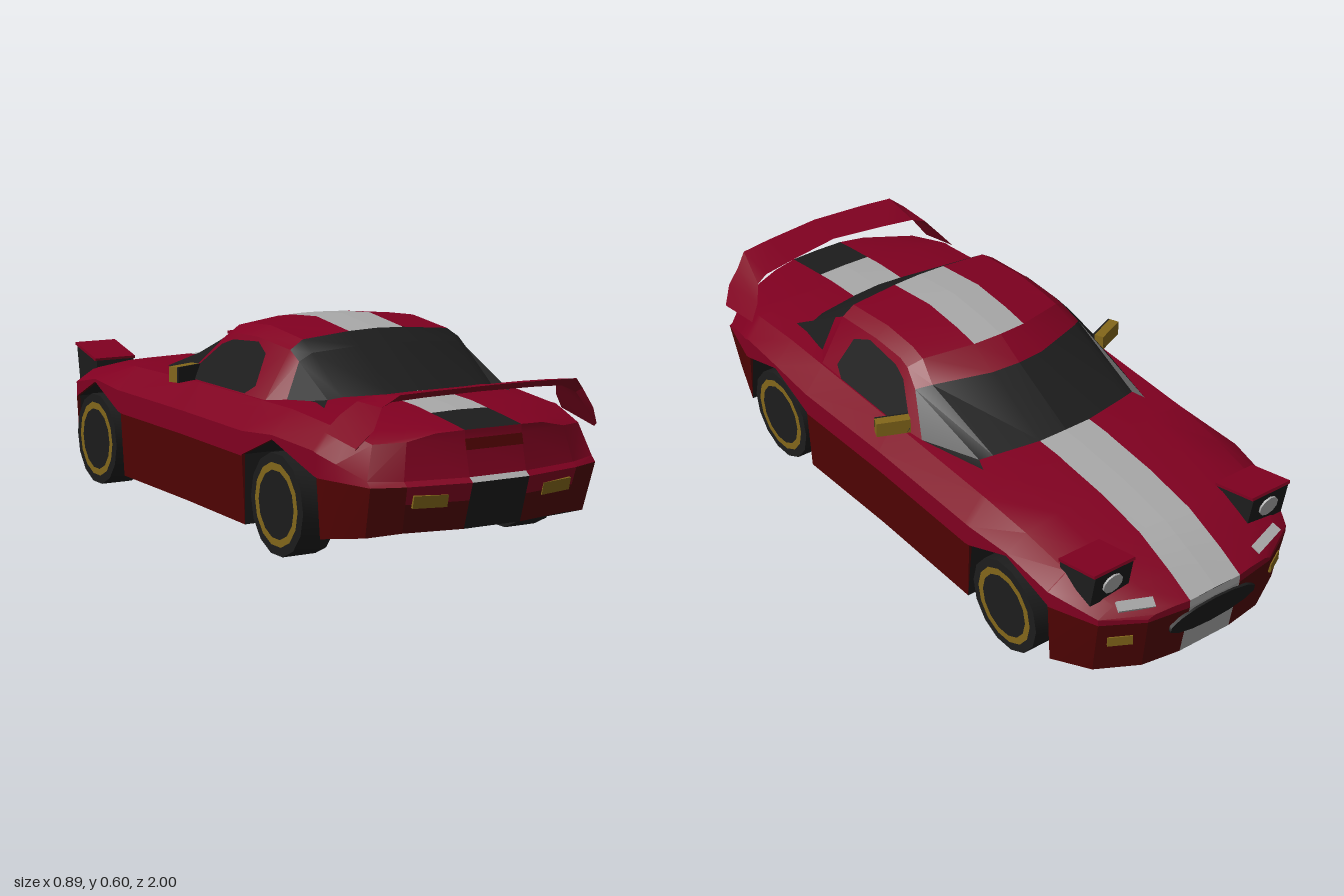
import * as THREE from 'three';
import { toCreasedNormals } from 'three/addons/utils/BufferGeometryUtils.js';

const mat = (name, color, side = THREE.FrontSide) => {
  const m = new THREE.MeshStandardMaterial({ color, side });
  m.name = name;
  return m;
};
const RED = mat('body red', 0x800020);
const DARK = mat('dark red', 0x500202);
const WHITE = mat('stripe white', 0xa8a8a8);
const BLACK = mat('black', 0x1c1c1c, THREE.DoubleSide);
const GOLD = mat('gold', 0x82661a);

// Surface through rows of points
function grid(rows) {
  const n = rows[0].length, idx = [];
  for (let i = 0; i < rows.length - 1; i++)
    for (let j = 0; j < n - 1; j++) {
      const a = i * n + j, b = a + n;
      idx.push(a, a + 1, b, a + 1, b + 1, b);
    }
  const g = new THREE.BufferGeometry();
  g.setAttribute('position', new THREE.Float32BufferAttribute(rows.flat(2), 3));
  g.setIndex(idx);
  return toCreasedNormals(g, 0.45);
}
const flip = rows => rows.map(r => r.map(([x, y, z]) => [-x, y, z]).reverse());

// Body stations: z, half width, bottom, sill top, belt, shoulder x, shoulder y, centre top
const BODY = [
  [-0.975, 0.22, 0.06, 0.235, 0.245, 0.2, 0.255, 0.262],
  [-0.91, 0.34, 0.06, 0.24, 0.26, 0.29, 0.285, 0.305],
  [-0.775, 0.405, 0.06, 0.25, 0.3, 0.34, 0.34, 0.36],
  [-0.772, 0.405, 0.254, 0.254, 0.3, 0.34, 0.34, 0.36],
  [-0.607, 0.418, 0.323, 0.323, 0.332, 0.35, 0.37, 0.39],
  [-0.44, 0.42, 0.254, 0.254, 0.32, 0.36, 0.39, 0.405],
  [-0.42, 0.42, 0.055, 0.25, 0.32, 0.36, 0.39, 0.408],
  [0, 0.42, 0.055, 0.25, 0.32, 0.365, 0.4, 0.415],
  [0.37, 0.43, 0.055, 0.25, 0.32, 0.365, 0.4, 0.415],
  [0.372, 0.43, 0.254, 0.254, 0.32, 0.365, 0.4, 0.415],
  [0.54, 0.43, 0.323, 0.323, 0.335, 0.365, 0.4, 0.425],
  [0.725, 0.41, 0.254, 0.254, 0.32, 0.36, 0.385, 0.415],
  [0.745, 0.41, 0.085, 0.25, 0.315, 0.36, 0.385, 0.413],
  [0.8, 0.391, 0.095, 0.25, 0.296, 0.349, 0.374, 0.406],
  [0.89, 0.36, 0.11, 0.25, 0.265, 0.33, 0.355, 0.395],
  [0.925, 0.27, 0.12, 0.25, 0.262, 0.25, 0.36, 0.385],
];
const S = 0.09; // stripe half width

function bodyRing([z, w, yb, y2, y3, ws, ysh, yt], i) {
  const bow = i === 0 ? -0.02 : i === BODY.length - 1 ? 0.035 : 0;
  const lip = z > 0.74 ? 0.04 * Math.min(1, (z - 0.74) / 0.15) : 0;
  const tuck = z < -0.9 ? 0.03 : 0;
  const pt = (x, y, dz = 0) => [x, y, z + dz + bow * (1 - Math.max(x - S, 0) / (w - S))];
  const ring = [
    pt(0, yb, tuck), pt(S, yb, tuck), pt(w - 0.01, yb, tuck),
    pt(w, y2, lip), pt(w, y3, lip * 0.6), pt(ws, ysh),
    pt(ws * 0.68, ysh + 0.75 * (yt - ysh)), pt(S, yt - 0.002), pt(0, yt),
  ];
  // bumper face levels: outer point paired with the point at the stripe edge
  const dz = [0, 0, tuck, lip, lip * 0.6, 0, 0, 0];
  ring.levels = [2, 3, 4, 5, 6, 7].map(k => [ring[k], pt(S, ring[k][1], dz[k])]);
  return ring;
}

// Cabin stations: z, base x, base y, roof edge x, roof edge y, top, edge z shift
const CABIN = [
  [-0.34, 0.295, 0.4, 0.28, 0.405, 0.412, 0.04],
  [-0.12, 0.35, 0.4, 0.3, 0.5, 0.525, 0.1],
  [-0.03, 0.36, 0.4, 0.284, 0.538, 0.577, 0.07],
  [0.06, 0.36, 0.4, 0.28, 0.547, 0.59, 0.02],
  [0.2, 0.36, 0.4, 0.28, 0.55, 0.6, 0],
  [0.38, 0.36, 0.4, 0.28, 0.535, 0.578, 0],
  [0.435, 0.325, 0.4, 0.278, 0.508, 0.543, -0.01],
  [0.605, 0.305, 0.405, 0.27, 0.42, 0.43, -0.04],
];
const cabinRing = ([z, xb, yb, xe, ye, yt, s]) => [
  [xb, yb, z], [xe, ye, z + s], [xe - 0.04, ye + 0.62 * (yt - ye), z + s * 0.7],
  [S, yt - 0.003, z + s * 0.1], [0, yt, z],
];

export function createModel() {
  const car = new THREE.Group();
  car.name = 'car';
  const add = (name, geo, m, p = [0, 0, 0], r = [0, 0, 0]) => {
    const mesh = new THREE.Mesh(geo, m);
    mesh.name = name;
    mesh.position.set(...p);
    mesh.rotation.set(...r);
    car.add(mesh);
    return mesh;
  };
  const box = (name, size, m, p, r) => add(name, new THREE.BoxGeometry(...size), m, p, r);
  const both = (name, rows, m) => {
    add(name, grid(rows), m);
    add(name, grid(flip(rows)), m);
  };

  // Lengthwise strips between stations i0..i1 and ring points a..b
  const strip = (name, rings, i0, i1, a, b, m) =>
    both(name, rings.slice(i0, i1 + 1).map(r => r.slice(a, b + 1)), m);

  // Body shell
  const rings = BODY.map(bodyRing);
  const last = rings.length - 1;
  strip('underbody', rings, 0, last, 0, 2, BLACK);
  strip('lowerSide', rings, 0, last, 2, 3, DARK);
  strip('upperBody', rings, 0, last, 3, 7, RED);
  strip('bodyStripe', rings, 0, last - 2, 7, 8, WHITE);
  strip('deckPanel', rings, last - 2, last, 7, 8, BLACK);

  // Nose and tail faces
  const face = (name, ring, rear, lowMid, topMid) => {
    const L = ring.levels.slice();
    const mix = (a, b) => a.map((v, i) => v + 0.62 * (b[i] - v));
    L.splice(1, 0, [mix(L[0][0], L[1][0]), mix(L[0][1], L[1][1])]);
    const part = (from, to, centre, m) => {
      const rows = L.slice(from, to + 1).map(([o, c]) => centre ? [[-c[0], c[1], c[2]], c] : [c, o]);
      const put = q => add(name, grid(rear ? q : q.map(r => r.slice().reverse())), m);
      put(rows);
      if (!centre) put(flip(rows));
    };
    part(0, rear ? 1 : 2, false, DARK);
    part(rear ? 1 : 2, 6, false, RED);
    part(0, 2, true, lowMid);
    part(2, 3, true, WHITE);
    part(3, 6, true, topMid);
  };
  face('noseFace', rings[0], false, WHITE, WHITE);
  face('tailFace', rings[last], true, BLACK, RED);
  box('tailRecess', [0.18, 0.03, 0.006], DARK, [0, 0.345, 0.964], [-0.24, 0, 0]);

  // Cabin with windscreen, roof and rear window
  const cab = CABIN.map(cabinRing);
  strip('windscreen', cab, 0, 1, 0, 4, BLACK);
  strip('roofHeader', cab, 1, 2, 1, 4, RED);
  strip('roof', cab, 2, 5, 1, 3, RED);
  strip('roofStripe', cab, 2, 5, 3, 4, WHITE);
  strip('cabinSide', cab, 1, 6, 0, 1, RED);
  strip('rearWindowTop', cab, 5, 6, 1, 4, BLACK);
  strip('rearWindow', cab, 6, 7, 0, 4, BLACK);

  // Rear wing: arched bar running down into its legs
  const wing = [ // x, lead z, y, trail z, y, under z, y
    [0, 0.855, 0.478, 0.967, 0.496, 0.915, 0.472],
    [0.18, 0.83, 0.473, 0.955, 0.492, 0.905, 0.468],
    [0.28, 0.815, 0.468, 0.945, 0.488, 0.9, 0.463],
    [0.32, 0.8, 0.455, 0.92, 0.455, 0.89, 0.44],
    [0.35, 0.76, 0.415, 0.93, 0.4, 0.9, 0.395],
    [0.385, 0.74, 0.37, 0.9, 0.35, 0.89, 0.34],
  ];
  both('rearWing', wing.map(([x, lz, ly, tz, ty, uz, uy]) =>
    [[x, ly, lz], [x, ty, tz], [x, uy, uz], [x, ly, lz]]), RED);

  // Grille
  const grille = add('grille', new THREE.CylinderGeometry(1, 1, 0.009, 14), BLACK,
    [0, 0.185, -0.989], [Math.PI / 2 - 0.17, 0, 0]);
  grille.scale.set(0.155, 1, 0.046);

  const windowOutline = [[0.31, 0.43], [0.285, 0.515], [0.22, 0.54], [0.08, 0.53], [0.03, 0.512],
    [-0.075, 0.418], [-0.07, 0.405], [0.27, 0.405]];
  const podOutline = [[-0.9, 0.4], [-0.75, 0.365], [-0.75, 0.33], [-0.88, 0.29]];
  const shape = pts => new THREE.Shape(pts.map(p => new THREE.Vector2(...p)));

  for (const s of [1, -1]) {
    // Side window laid on the leaning cabin side
    const win = new THREE.ShapeGeometry(shape(windowOutline));
    const p = win.attributes.position;
    for (let i = 0; i < p.count; i++) {
      const z = p.getX(i), y = p.getY(i);
      p.setXYZ(i, s * (0.368 - (y - 0.4) * 0.55), y, z);
    }
    win.computeVertexNormals();
    add('sideWindow', win, BLACK);

    // Raised headlight
    const pod = new THREE.ExtrudeGeometry(shape(podOutline), { depth: 0.13, bevelEnabled: false });
    add('headlightPod', pod, BLACK, [s * 0.28 + 0.065, 0, 0], [0, -Math.PI / 2, 0]);
    box('headlightLid', [0.14, 0.009, 0.155], RED, [s * 0.28, 0.386, -0.825], [0.23, 0, 0]);
    add('headlightLamp', new THREE.CylinderGeometry(0.033, 0.033, 0.009, 10), WHITE,
      [s * 0.28, 0.348, -0.892], [Math.PI / 2 - 0.18, 0, 0]);

    // Small lamps
    box('noseLamp', [0.11, 0.009, 0.03], WHITE, [s * 0.235, 0.281, -0.938], [-0.5, s * -0.3, 0]);
    box('frontSignal', [0.07, 0.03, 0.009], GOLD, [s * 0.28, 0.175, -0.932], [0, s * -0.5, 0]);
    box('rearLamp', [0.1, 0.035, 0.009], GOLD, [s * 0.2, 0.207, 0.966], [0.23, s * 0.13, 0]);

    // Door mirror, swept back
    box('doorMirror', [0.1, 0.045, 0.03], GOLD, [s * 0.395, 0.425, -0.04], [0, s * -0.4, 0]);
    box('mirrorGlass', [0.1, 0.045, 0.006], BLACK, [s * 0.388, 0.425, -0.024], [0, s * -0.4, 0]);

    // Wheels with gold rims
    for (const z of [0.545, -0.6]) {
      add('tyre', toCreasedNormals(new THREE.CylinderGeometry(0.143, 0.143, 0.103, 14), 0.6), BLACK,
        [s * 0.3665, 0.143, z], [0, 0, Math.PI / 2]);
      add('wheelRim', new THREE.RingGeometry(0.096, 0.117, 14), GOLD,
        [s * 0.42, 0.143, z], [0, s * Math.PI / 2, 0]);
    }
  }
  return car;
}
